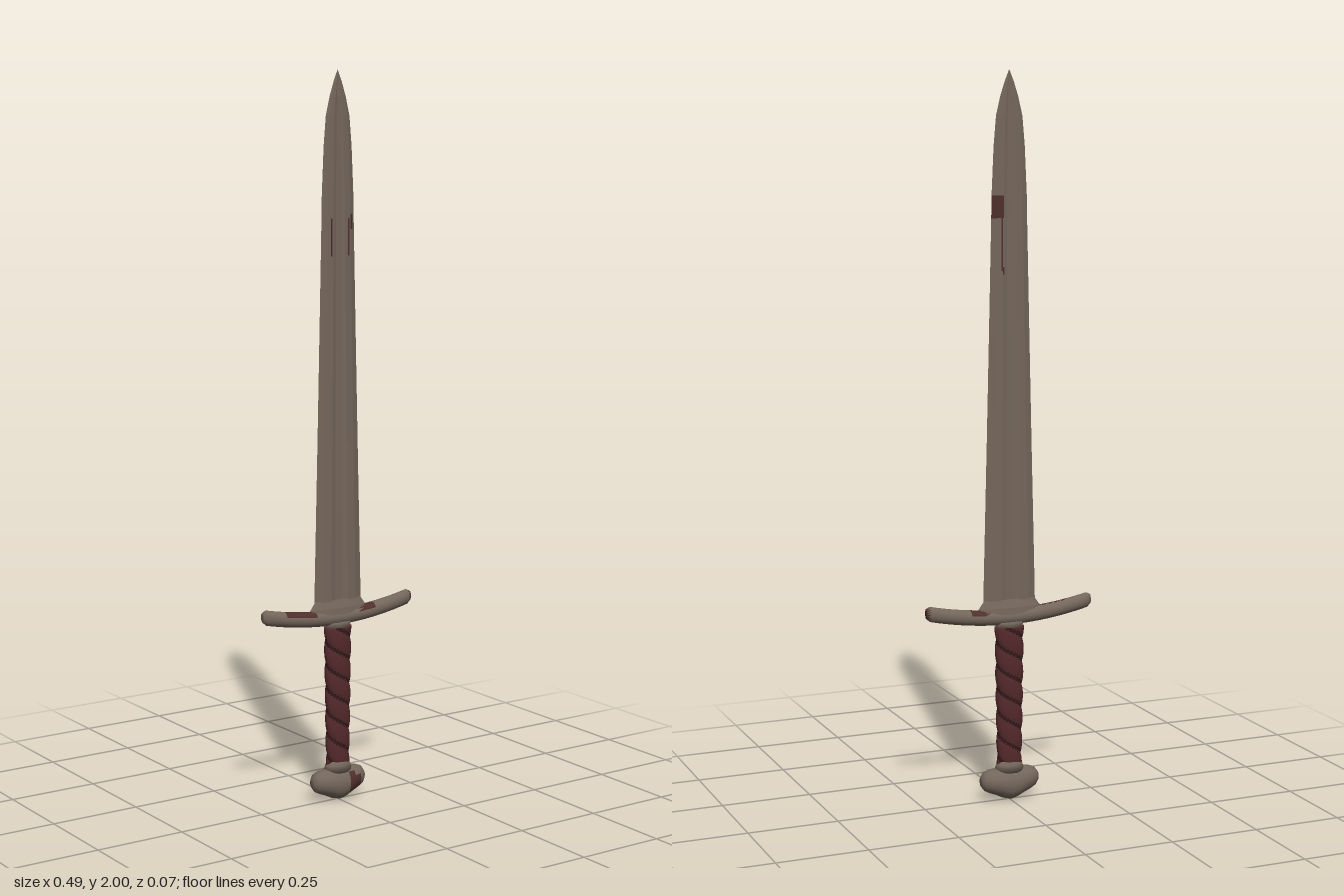
import * as THREE from 'three';

const mat = (name, color) => {
  const m = new THREE.MeshStandardMaterial({ color });
  m.name = name;
  return m;
};

// Skin a list of closed rings; pick(centroid) gives the material index of each triangle
function loft(name, rings, materials, { pick = () => 0, flat = false } = {}) {
  const n = rings[0].length, last = rings.length - 1;
  const pts = rings.flat();
  const tris = materials.map(() => []);
  const centre = new THREE.Vector3();
  const add = (a, b, c) => {
    centre.copy(pts[a]).add(pts[b]).add(pts[c]).divideScalar(3);
    tris[pick(centre)].push(a, b, c);
  };
  const ends = [rings[0], rings[last]].map(r =>
    pts.push(r.reduce((s, p) => s.add(p), new THREE.Vector3()).divideScalar(n)) - 1);
  for (let j = 0; j < n; j++) {
    const k = (j + 1) % n;
    for (let i = 0; i < last; i++) {
      const a = i * n + j, b = i * n + k, c = b + n, d = a + n;
      add(a, d, c);
      add(a, c, b);
    }
    add(ends[0], j, k);
    add(ends[1], last * n + k, last * n + j);
  }
  let geo = new THREE.BufferGeometry().setFromPoints(pts);
  geo.setIndex(tris.flat());
  let start = 0;
  tris.forEach((t, i) => {
    geo.addGroup(start, t.length, i);
    start += t.length;
  });
  if (flat) {
    const groups = geo.groups;
    geo = geo.toNonIndexed();
    geo.clearGroups();
    groups.forEach(g => geo.addGroup(g.start, g.count, g.materialIndex));
  }
  geo.computeVertexNormals();
  const mesh = new THREE.Mesh(geo, materials);
  mesh.name = name;
  return mesh;
}

// Elliptical ring across the y axis
const ringY = (y, rx, rz, n = 24) => Array.from({ length: n }, (_, j) => {
  const a = j / n * Math.PI * 2;
  return new THREE.Vector3(rx * Math.cos(a), y, rz * Math.sin(a));
});

// Elliptical ring across the x axis
const ringX = (x, y, ry, rz, n = 16) => Array.from({ length: n }, (_, j) => {
  const a = j / n * Math.PI * 2;
  return new THREE.Vector3(x, y + ry * Math.cos(a), -rz * Math.sin(a));
});

export function createModel() {
  const steel = mat('weathered steel', 0x74665b);
  const rust = mat('rust stain', 0x4f302c);
  const leather = mat('grip leather', 0x54292b);
  const seam = mat('dark leather seam', 0x30191a);
  const sword = new THREE.Group();
  sword.name = 'sword';

  // Blade: bevelled edges and a shallow fuller, tapering to the point
  const half = [[1, 0], [0.72, 0.75], [0.36, 1], [0.16, 0.6]];
  const quarter = half.slice(1);
  const section = [
    [1, 0], ...quarter, ...[...quarter].reverse().map(([x, z]) => [-x, z]),
    [-1, 0], ...quarter.map(([x, z]) => [-x, -z]), ...[...quarter].reverse().map(([x, z]) => [x, -z]),
  ];
  const blade = [
    [0.53, 0.077, 0.01], [0.6, 0.076, 0.01], [1.0, 0.066, 0.009], [1.3, 0.059, 0.009],
    [1.61, 0.052, 0.008], [1.67, 0.051, 0.008], [1.8, 0.045, 0.007], [1.88, 0.038, 0.006],
    [1.93, 0.026, 0.005], [1.97, 0.013, 0.003], [2.0, 0.0005, 0.0005],
  ].map(([y, w, t]) => section.map(([x, z]) => new THREE.Vector3(x * w, y, z * t)));
  sword.add(loft('blade', blade, [steel, rust], {
    flat: true,
    pick: c => (c.y > 1.61 && c.y < 1.67 && c.x > 0.02 && c.z < 0 ? 1 : 0),
  }));

  // Thin nicks along the fuller on both faces
  for (const [x, y, h, side] of [[-0.024, 1.56, 0.1, 1], [0.03, 1.56, 0.1, 1], [0.04, 1.6, 0.04, 1],
    [0.024, 1.54, 0.14, -1], [0.02, 1.47, 0.02, -1]]) {
    const nick = new THREE.Mesh(new THREE.BoxGeometry(0.004, h, 0.003), rust);
    nick.name = 'bladeNick';
    nick.position.set(x, y, side * 0.0075);
    sword.add(nick);
  }

  // Flared collar where the blade meets the guard
  sword.add(loft('bladeCollar', [
    ringY(0.525, 0.098, 0.02, 16), ringY(0.55, 0.09, 0.017, 16), ringY(0.572, 0.074, 0.01, 16),
  ], [steel], { flat: true }));

  // Crossguard: an upswept bar with blunt, slightly narrower ends
  const guard = [];
  for (let i = -12; i <= 12; i++) {
    const x = i / 12 * 0.232, u = Math.abs(x) / 0.232;
    const thick = 0.021 - 0.006 * u ** 2;
    guard.push(ringX(x, 0.522 + 0.027 * u * u, 0.022 - 0.001 * u, thick));
  }
  guard.unshift(ringX(-0.243, 0.551, 0.014, 0.009));
  guard.push(ringX(0.243, 0.551, 0.014, 0.009));
  sword.add(loft('crossguard', guard, [steel, rust], {
    pick: c => {
      const top = c.y > 0.53 + 0.027 * (c.x / 0.232) ** 2;
      const leftPatch = c.x > 0.07 && c.x < 0.12;
      const rightPatch = c.x > -0.175 && c.x < -0.08 && c.z > -0.003;
      return (top && (leftPatch || rightPatch)) || c.x > 0.236 ? 1 : 0;
    },
  }));

  // Grip: two strips of leather spiralling up an oval core
  const band = 0.065, starts = 2, sides = 24;
  const phase = (a, y) => {
    const p = y / band - starts * a / (Math.PI * 2);
    return p - Math.floor(p);
  };
  const grip = [];
  for (let i = 0; i <= 72; i++) {
    const y = 0.105 + i * band / 12, taper = 0.86 + 0.14 * i / 72;
    grip.push(ringY(y, 1, 1, sides).map((p, j) => {
      const bulge = 0.85 + 0.17 * Math.sqrt(Math.sin(Math.PI * phase(j / sides * Math.PI * 2, y)));
      return new THREE.Vector3(p.x * 0.042 * taper * bulge, y, p.z * 0.025 * taper * bulge);
    }));
  }
  sword.add(loft('grip', grip, [leather, seam], {
    pick: c => {
      const p = phase(Math.atan2(c.z / 0.025, c.x / 0.042), c.y - 0.105 + 0.105);
      return p < 0.08 || p > 0.92 ? 1 : 0;
    },
  }));

  // Metal ferrules at both ends of the grip
  sword.add(loft('upperFerrule', [ringY(0.49, 0.034, 0.021), ringY(0.51, 0.046, 0.022)], [steel]));
  sword.add(loft('lowerFerrule', [
    ringY(0.085, 0.045, 0.028), ringY(0.105, 0.038, 0.026), ringY(0.118, 0.031, 0.02),
  ], [steel]));

  // Pommel: a wide nut shape, lower in the middle
  const profile = [[0, 0.052, 0.047, 0.037], [0.02, 0.054, 0.044, 0.037], [0.04, 0.058, 0.038, 0.034],
    [0.06, 0.061, 0.033, 0.029], [0.075, 0.062, 0.026, 0.022], [0.084, 0.062, 0.014, 0.012]];
  const pommel = [
    ...profile.slice(1).reverse().map(([x, ...r]) => ringX(-x, ...r)),
    ...profile.map(p => ringX(...p)),
  ];
  sword.add(loft('pommel', pommel, [steel, rust], {
    pick: c => (c.x > 0.02 && c.x < 0.06 && c.z > 0.005 && c.y < 0.085 - (c.x - 0.02) * 0.3 ? 1 : 0),
  }));

  return sword;
}
